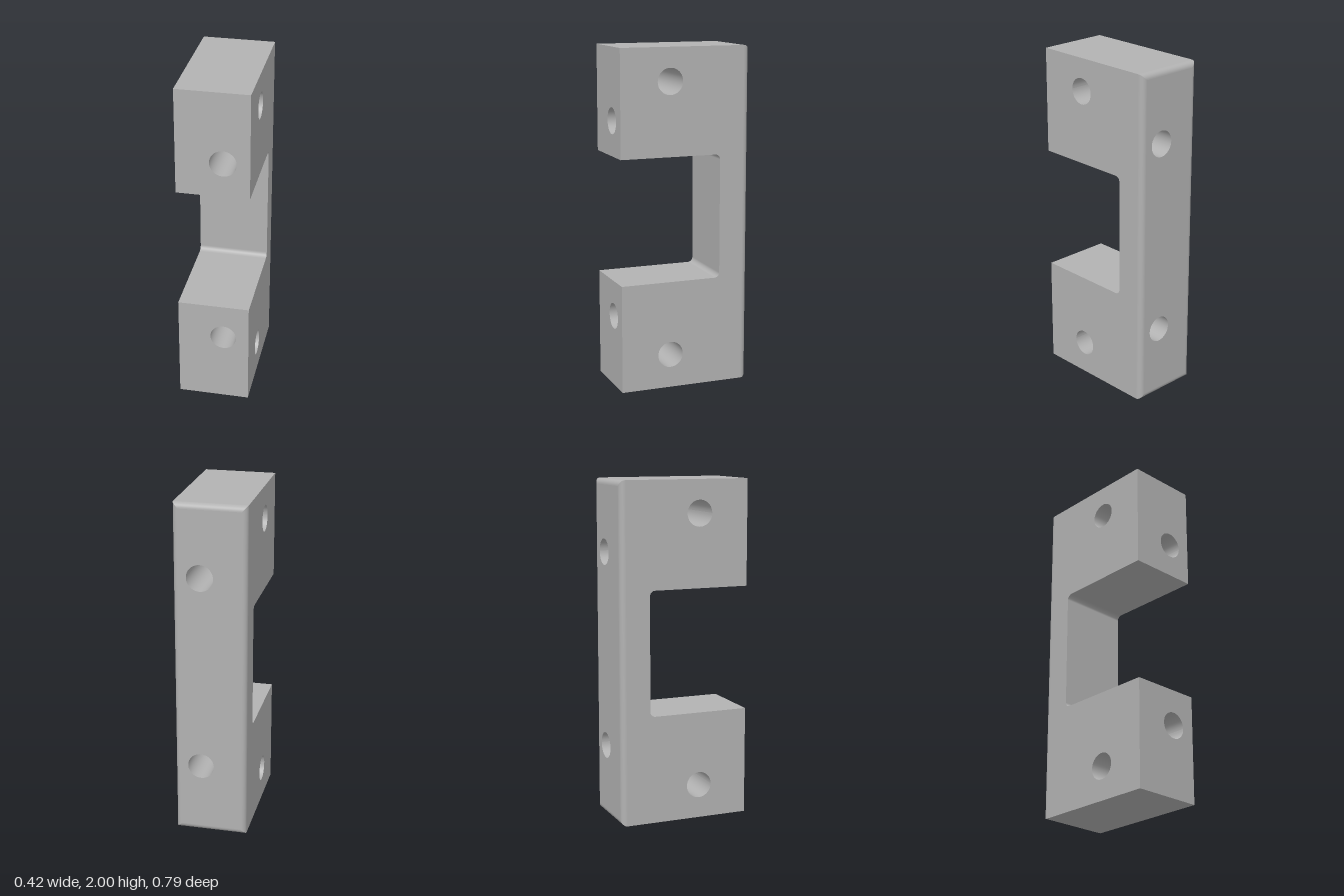
import * as THREE from 'three';

const HX = 0.21, HZ = 0.393, H = 2;          // half width, half depth, height
const R = 0.033, BORE = 0.077;               // edge radius, bore radius
const NOTCH = { y0: 0.64, y1: 1.375, z: -0.215, r: 0.03 };
const FRONT_BORES = [[0.058, 0.427], [0.058, 1.58]];  // x, y
const SIDE_BORES = [[0.093, 0.2], [0.093, 1.806]];    // z, y

// Surface between two matching rails of points, smooth along the rails
function strip(a, b) {
  const pos = [], index = [];
  a.forEach((p, i) => {
    pos.push(...p, ...b[i]);
    if (i) {
      const k = 2 * i - 2;
      index.push(k, k + 1, k + 2, k + 1, k + 3, k + 2);
    }
  });
  const g = new THREE.BufferGeometry();
  g.setAttribute('position', new THREE.Float32BufferAttribute(pos, 3));
  g.setIndex(index);
  g.computeVertexNormals();
  return g;
}

// Flat face with round holes; sign mirrors it sideways
function plate(outline, holes, sign) {
  const shape = new THREE.Shape(outline.map(([u, v]) => new THREE.Vector2(sign * u, v)));
  for (const [u, v] of holes) {
    shape.holes.push(new THREE.Path().absarc(sign * u, v, BORE, 0, Math.PI * 2, false));
  }
  return new THREE.ShapeGeometry(shape, 24);
}

const rect = (x, y0, y1) => [[-x, y0], [x, y0], [x, y1], [-x, y1]];

// Notch profile as z, y: along the lower face, up the web, back out
function notchProfile() {
  const { y0, y1, z, r } = NOTCH, n = 8, pts = [[HZ, y0]];
  for (let i = 0; i <= n; i++) {
    const t = (i / n) * Math.PI / 2;
    pts.push([z + r - r * Math.sin(t), y0 + r - r * Math.cos(t)]);
  }
  for (let i = 0; i <= n; i++) {
    const t = (i / n) * Math.PI / 2;
    pts.push([z + r - r * Math.cos(t), y1 - r + r * Math.sin(t)]);
  }
  pts.push([HZ, y1]);
  return pts;
}

export function createModel() {
  const group = new THREE.Group();
  const grey = new THREE.MeshStandardMaterial({ color: 0xb2b2b2 });
  grey.name = 'plainGrey';
  const add = (name, geometry) => {
    const mesh = new THREE.Mesh(geometry, grey);
    mesh.name = name;
    group.add(mesh);
  };
  const across = (path) => strip(path.map(([z, y]) => [-HX, y, z]), path.map(([z, y]) => [HX, y, z]));

  // Top, bottom and notch walls
  const notch = notchProfile();
  add('topFace', across([[HZ, H], [-HZ + R, H]]));
  add('bottomFace', across([[-HZ + R, 0], [HZ, 0]]));
  add('notchWalls', across(notch));

  // Bracket-shaped sides
  const side = [[HZ, 0], ...notch, [HZ, H], [-HZ + R, H], [-HZ + R, 0]];
  add('leftSide', plate(side, SIDE_BORES, -1).rotateY(Math.PI / 2).translate(HX, 0, 0));
  add('rightSide', plate(side, SIDE_BORES, 1).rotateY(-Math.PI / 2).translate(-HX, 0, 0));

  // Block fronts and the back
  add('lowerFront', plate(rect(HX, 0, NOTCH.y0), [FRONT_BORES[0]], 1).translate(0, 0, HZ));
  add('upperFront', plate(rect(HX, NOTCH.y1, H), [FRONT_BORES[1]], 1).translate(0, 0, HZ));
  add('backFace', plate(rect(HX - R, R, H - R), FRONT_BORES, -1).rotateY(Math.PI).translate(0, 0, -HZ));

  // Rounded back edges, mitred at the corners
  const corners = [[1, -1], [1, 1], [-1, 1], [-1, -1]];
  const rail = ([sx, sy]) => Array.from({ length: 11 }, (_, i) => {
    const t = (i / 10) * Math.PI / 2, out = R * Math.sin(t) - R;
    return [sx * (HX + out), H / 2 + sy * (H / 2 + out), -HZ + R - R * Math.cos(t)];
  });
  ['backLeftEdge', 'backTopEdge', 'backRightEdge', 'backBottomEdge'].forEach((name, k) => {
    add(name, strip(rail(corners[k]), rail(corners[(k + 1) % 4])));
  });

  // Bore walls
  const circle = ([u, v]) => Array.from({ length: 49 }, (_, i) => {
    const t = (i / 48) * Math.PI * 2;
    return [u + BORE * Math.cos(t), v + BORE * Math.sin(t)];
  });
  for (const c of FRONT_BORES) {
    const ring = circle(c);
    add('frontBore', strip(ring.map(([x, y]) => [x, y, -HZ]), ring.map(([x, y]) => [x, y, HZ])));
  }
  for (const c of SIDE_BORES) {
    const ring = circle(c);
    add('sideBore', strip(ring.map(([z, y]) => [HX, y, z]), ring.map(([z, y]) => [-HX, y, z])));
  }
  return group;
}
